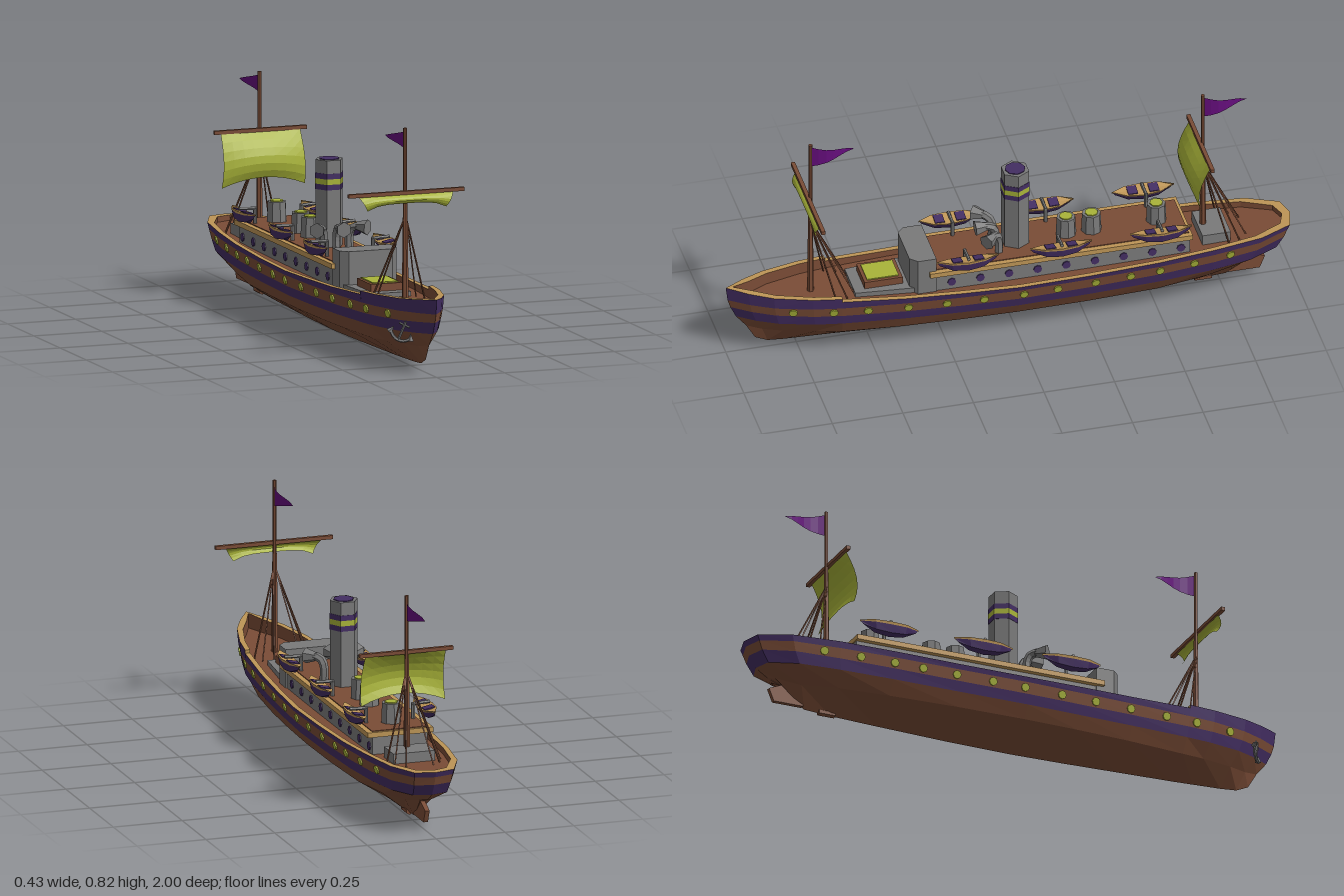
import * as THREE from 'three';

const V = (x, y, z) => new THREE.Vector3(x, y, z);
const material = (name, color, side = THREE.FrontSide) => {
  const m = new THREE.MeshStandardMaterial({ color, side });
  m.name = name;
  return m;
};

// Stations: z, half width, rail height, bilge half width, bilge height, keel height, rake
const STATIONS = [
  [1, 0, 0.27, 0, 0.1, 0.045, 0.8],
  [0.93, 0.046, 0.263, 0.02, 0.09, 0.025, 0.6],
  [0.85, 0.085, 0.257, 0.045, 0.088, 0.02, 0.45],
  [0.72, 0.12, 0.251, 0.072, 0.085, 0.016, 0.25],
  [0.62, 0.135, 0.248, 0.09, 0.08, 0.013, 0.1],
  [0.62, 0.135, 0.236, 0.09, 0.08, 0.013, 0.1],
  [0.4, 0.155, 0.226, 0.11, 0.08, 0.008, 0],
  [0.2, 0.167, 0.221, 0.12, 0.08, 0.003, 0],
  [0, 0.175, 0.217, 0.125, 0.08, 0, 0],
  [-0.25, 0.171, 0.219, 0.122, 0.08, 0.003, 0],
  [-0.5, 0.163, 0.225, 0.11, 0.08, 0.01, 0],
  [-0.7, 0.147, 0.232, 0.085, 0.085, 0.016, -0.2],
  [-0.87, 0.122, 0.236, 0.045, 0.09, 0.022, -0.75],
  [-0.98, 0.072, 0.237, 0.02, 0.11, 0.095, -1],
  [-1, 0, 0.237, 0, 0.115, 0.1, -1],
];
const RAKE = [0.13, 0.09, 0.045, 0.02, 0.008, 0];

// Hull point at a station; rows run from keel (0) to rail (5)
function hullPoint([z, w, top, b, y1, k, f], row) {
  const q = z * z;
  const x = [0, b, 0.86 * w, 0.92 * w, 0.97 * w, w][row];
  const y = [k, y1, 0.125 + 0.02 * q, 0.16 + 0.027 * q, 0.2 + 0.018 * q, top][row];
  return V(x, y, z - RAKE[row] * f);
}
const inner = (s, y) => V(Math.max(s[1] - 0.018, 0), y, s[0] * (1 - 0.03 * Math.abs(s[6])));
const deckY = (s) => 0.2 + 0.018 * s[0] * s[0];
function stationAt(z) {
  const i = STATIONS.findIndex((s) => s[0] <= z);
  const a = STATIONS[i - 1], b = STATIONS[i], t = (a[0] - z) / (a[0] - b[0]);
  return a.map((v, j) => v + (b[j] - v) * t);
}

// Mirrored band between two lines of points, running from bow to stern
function strip(stations, lineA, lineB) {
  const pos = [];
  for (const side of [1, -1]) {
    for (let i = 0; i + 1 < stations.length; i++) {
      const [s, t] = [stations[i], stations[i + 1]];
      const quad = [lineA(s), lineA(t), lineB(t), lineB(s)];
      for (const n of side > 0 ? [0, 1, 2, 0, 2, 3] : [0, 2, 1, 0, 3, 2]) {
        pos.push(quad[n].x * side, quad[n].y, quad[n].z);
      }
    }
  }
  const g = new THREE.BufferGeometry();
  g.setAttribute('position', new THREE.Float32BufferAttribute(pos, 3));
  return g;
}

// Upright prism from an x-z outline
function prism(points, y, h) {
  const shape = new THREE.Shape(points.map(([x, z]) => new THREE.Vector2(x, -z)));
  return new THREE.ExtrudeGeometry(shape, { depth: h, bevelEnabled: false }).rotateX(-Math.PI / 2).translate(0, y, 0);
}
const box = (w, h, d, x, y, z) => new THREE.BoxGeometry(w, h, d).translate(x, y, z);
const drum = (r, y0, y1, z, n = 8, r1 = r) =>
  new THREE.CylinderGeometry(r1, r, y1 - y0, n).rotateY(Math.PI / 2).translate(0, (y0 + y1) / 2, z);

// Tapered bar between two points
function rod(a, b, r0, r1 = r0, n = 6) {
  const d = b.clone().sub(a);
  const g = new THREE.CylinderGeometry(r1, r0, d.length(), n);
  g.applyQuaternion(new THREE.Quaternion().setFromUnitVectors(V(0, 1, 0), d.normalize()));
  const m = a.clone().add(b).multiplyScalar(0.5);
  return g.translate(m.x, m.y, m.z);
}

export function createModel() {
  const root = new THREE.Group();
  root.name = 'steamship';
  const wood = material('brown wood', 0x7a4c36);
  const purple = material('dark purple paint', 0x432d62);
  const flagCloth = material('flag purple', 0x650d7c, THREE.DoubleSide);
  const lime = material('lime', 0xa9b439, THREE.DoubleSide);
  const gold = material('tan trim', 0xbd9556);
  const gray = material('gray metal', 0x7a7a7a);
  const add = (name, geometry, mat, parent = root) => {
    const g = geometry.index ? geometry.toNonIndexed() : geometry;
    g.computeVertexNormals();
    const mesh = new THREE.Mesh(g, mat);
    mesh.name = name;
    parent.add(mesh);
    return mesh;
  };

  // Hull bands, rail, inner bulwark and deck
  [wood, wood, purple, wood, purple].forEach((m, r) =>
    add('hullBand', strip(STATIONS, (s) => hullPoint(s, r), (s) => hullPoint(s, r + 1)), m));
  add('rail', strip(STATIONS, (s) => hullPoint(s, 5), (s) => inner(s, s[2])), gold);
  add('innerBulwark', strip(STATIONS, (s) => inner(s, s[2]), (s) => inner(s, deckY(s))), wood);
  add('deck', strip(STATIONS, (s) => inner(s, deckY(s)), (s) => inner(s, deckY(s)).setX(0)), wood);

  // Portholes set along the brown stripe
  for (const z of [0.79, 0.65, 0.53, 0.39, 0.255, 0.125, -0.015, -0.135, -0.27, -0.395, -0.5, -0.625, -0.76]) {
    const s = stationAt(z), lo = hullPoint(s, 3), hi = hullPoint(s, 4);
    const along = hullPoint(stationAt(z - 0.01), 3).sub(lo);
    const n = along.cross(hi.clone().sub(lo)).normalize();
    const p = lo.add(hi).multiplyScalar(0.5);
    for (const side of [1, -1]) {
      const a = V(p.x * side, p.y, p.z);
      add('porthole', rod(a, a.clone().add(V(n.x * side, n.y, n.z).multiplyScalar(0.005)), 0.015, 0.015, 8), lime);
    }
  }

  // Rudder and propeller shaft
  const rudder = new THREE.Shape([[0.78, 0.03], [0.89, 0.03], [0.908, 0.075], [0.85, 0.1], [0.78, 0.08]].map((p) => new THREE.Vector2(...p)));
  add('rudder', new THREE.ExtrudeGeometry(rudder, { depth: 0.016, bevelEnabled: false }).rotateY(Math.PI / 2).translate(-0.008, 0, 0), wood);
  add('propellerShaft', rod(V(0, 0.022, -0.66), V(0, 0.022, -0.72), 0.012), wood);

  // Long deckhouse with windows and trimmed roof
  add('deckhouse', box(0.2, 0.085, 0.92, 0, 0.228, -0.16), gray);
  add('roofTrim', box(0.238, 0.018, 0.93, 0, 0.278, -0.16), gold);
  add('roofDeck', box(0.2, 0.004, 0.91, 0, 0.288, -0.16), wood);
  for (let i = 0; i < 9; i++) {
    for (const side of [1, -1]) {
      const z = 0.225 - i * 0.1015;
      add('houseWindow', rod(V(0.099 * side, 0.23, z), V(0.104 * side, 0.23, z), 0.015, 0.015, 8), purple);
    }
  }

  // Bridge, fore platform, hatch and aft platform
  add('bridge', prism([[-0.105, 0.28], [-0.105, 0.345], [-0.08, 0.37], [0.08, 0.37], [0.105, 0.345], [0.105, 0.28]], 0.2, 0.138), gray);
  add('forePlatform', prism([[-0.1, 0.29], [-0.075, 0.56], [0.075, 0.56], [0.1, 0.29]], 0.195, 0.027), gray);
  add('hatch', box(0.115, 0.04, 0.135, 0, 0.228, 0.455), wood);
  add('hatchCover', box(0.092, 0.006, 0.112, 0, 0.249, 0.455), lime);
  add('aftPlatform', box(0.15, 0.05, 0.1, 0, 0.222, -0.72), gray);

  // Hexagonal funnel with painted bands
  add('funnel', drum(0.05, 0.28, 0.592, -0.025, 6), gray);
  add('funnelMouth', drum(0.036, 0.59, 0.595, -0.025, 8), purple);
  [[0.527, 0.546, purple], [0.508, 0.527, lime], [0.489, 0.508, purple]].forEach(([a, b, m]) =>
    add('funnelBand', drum(0.0512, a, b, -0.025, 6), m));

  // Skylight drums
  for (const z of [-0.205, -0.295, -0.525]) {
    add('skylight', drum(0.036, 0.285, 0.36, z, 8, 0.033), gray);
    add('skylightGlass', drum(0.023, 0.359, 0.364, z), lime);
  }

  // Cowl ventilators
  for (const side of [-1, 0, 1]) {
    const vent = new THREE.Group();
    vent.name = 'ventilator';
    const curve = new THREE.CatmullRomCurve3([V(0, 0, 0), V(0, 0.055, 0), V(0, 0.078, 0.012), V(0, 0.085, 0.04)]);
    add('ventPipe', new THREE.TubeGeometry(curve, 7, 0.015, 6), gray, vent);
    add('ventCowl', rod(V(0, 0.084, 0.03), V(0, 0.082, 0.072), 0.015, 0.028), gray, vent);
    vent.position.set(side * 0.047, 0.284, 0.045);
    vent.rotation.y = side * 0.7;
    root.add(vent);
  }

  // Lifeboats on davits
  const boat = [[0.11, 0, 0.026], [0.06, 0.023, 0.006], [0, 0.029, 0], [-0.06, 0.023, 0.006], [-0.11, 0, 0.026]];
  const rim = ([z, w]) => V(w, 0.036 + z * z * 0.5, z);
  const keel = ([z, w, k]) => V(w * 0.45, k, z * 0.9);
  const belt = (s) => keel(s).lerp(rim(s), 0.75);
  for (const z of [0.175, -0.155, -0.51]) {
    for (const side of [1, -1]) {
      const b = new THREE.Group();
      b.name = 'lifeboat';
      add('boatBottom', strip(boat, (s) => keel(s).setX(0), keel), purple, b);
      add('boatSide', strip(boat, keel, belt), purple, b);
      add('boatRim', strip(boat, belt, rim), gold, b);
      add('boatCover', strip(boat, rim, (s) => V(0, 0.035, s[0])), gold, b);
      for (const dz of [-0.038, 0.038]) add('boatSeat', box(0.038, 0.006, 0.034, 0, 0.037, dz), purple, b);
      b.position.set(side * 0.135, 0.298, z);
      b.rotation.z = side * 0.2;
      root.add(b);
      add('davitPost', rod(V(side * 0.085, 0.285, z), V(side * 0.085, 0.345, z), 0.007), gray);
      add('davitArm', rod(V(side * 0.08, 0.342, z), V(side * 0.145, 0.345, z), 0.006), gray);
    }
  }

  // Masts with yard, rigging and flag
  for (const [name, z, top, yardY, yard] of [['foreMast', 0.7, 0.82, 0.596, 0.213], ['aftMast', -0.69, 0.785, 0.582, 0.17]]) {
    const mast = new THREE.Group();
    mast.name = name;
    root.add(mast);
    add('lowerMast', rod(V(0, 0.2, z), V(0, 0.56, z), 0.012, 0.008), wood, mast);
    add('topMast', rod(V(0, 0.55, z), V(0, top, z), 0.007), wood, mast);
    add('yard', box(yard * 2, 0.013, 0.014, 0, yardY, z + 0.008), wood, mast);
    for (const side of [1, -1]) {
      for (const [x, dz] of [[0.098, -0.07], [0.082, -0.11], [0.05, -0.14]]) {
        add('shroud', rod(V(side * 0.005, 0.5, z), V(side * x, 0.21, z + dz), 0.003, 0.003, 4), wood, mast);
      }
    }
    const flag = new THREE.PlaneGeometry(1, 1, 6, 1);
    const p = flag.attributes.position;
    for (let i = 0; i < p.count; i++) {
      const t = p.getX(i) + 0.5;
      p.setXYZ(i, 0.012 * Math.sin(t * 5), top - 0.05 + p.getY(i) * 0.08 * (1 - t), z - 0.16 * t);
    }
    add('flag', flag, flagCloth, mast);
  }

  // Sails: t runs down from the yard, u runs across
  const sail = (name, fn) => {
    const g = new THREE.PlaneGeometry(2, 1, 8, 6);
    const p = g.attributes.position;
    for (let i = 0; i < p.count; i++) p.setXYZ(i, ...fn(p.getX(i), 0.5 - p.getY(i)));
    add(name, g, lime);
  };
  sail('foreSail', (u, t) => [u * (0.175 - 0.03 * t), 0.592 - t * (0.032 + 0.02 * u ** 4), 0.705 + 0.02 * Math.sin(t * 2.6)]);
  sail('aftSail', (u, t) => [u * (0.146 + 0.007 * t), 0.578 - t * (0.155 + 0.032 * u * u), -0.68 + 0.055 * Math.sin(t * 2.4) * (1 - 0.25 * u * u)]);

  // Anchor hanging off the right bow
  const anchor = new THREE.Group();
  anchor.name = 'anchor';
  add('shank', rod(V(0, -0.035, 0), V(0, 0.035, 0), 0.005), gray, anchor);
  add('stock', rod(V(-0.02, 0.022, 0), V(0.02, 0.022, 0), 0.004), gray, anchor);
  add('arms', new THREE.TorusGeometry(0.042, 0.006, 5, 8, 2).rotateZ(-Math.PI / 2 - 1).translate(0, 0.007, 0), gray, anchor);
  for (const side of [1, -1]) {
    add('fluke', new THREE.ConeGeometry(0.011, 0.026, 4).rotateZ(side * 0.35).translate(side * 0.036, -0.008, 0), gray, anchor);
  }
  anchor.position.set(-0.085, 0.15, 0.89);
  anchor.rotation.set(0, -0.6, -0.4);
  root.add(anchor);
  return root;
}
